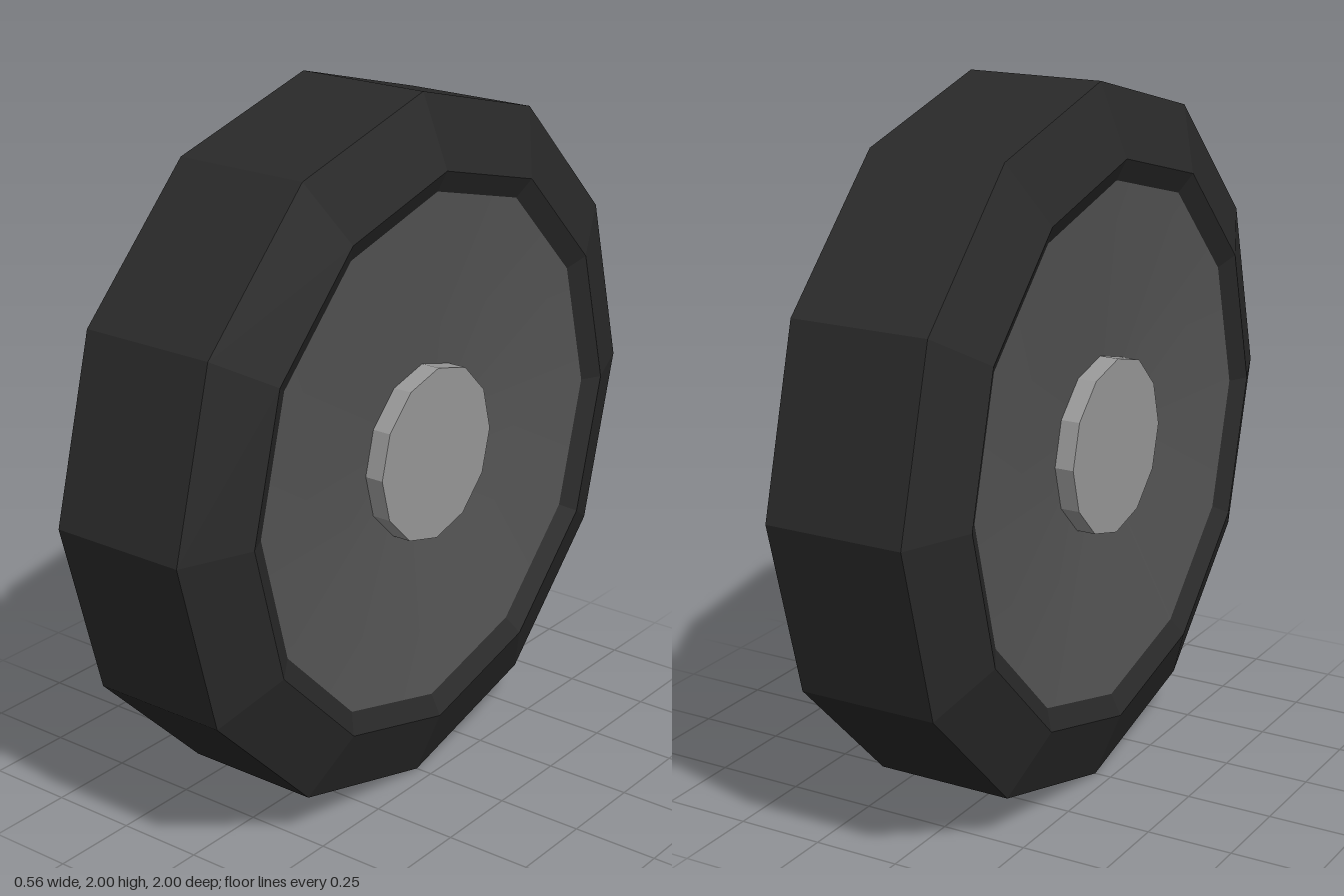
import * as THREE from 'three';

const SIDES = 12;

// Revolves [radius, x] points around the x axis
function revolve(points) {
  const g = new THREE.LatheGeometry(points.map(([r, x]) => new THREE.Vector2(r, x)), SIDES);
  return g.rotateZ(-Math.PI / 2);
}

// Gives every face its own normal for a faceted look
function faceted(g) {
  const flat = g.toNonIndexed();
  flat.computeVertexNormals();
  return flat;
}

function named(name, geometry, material) {
  const mesh = new THREE.Mesh(geometry, material);
  mesh.name = name;
  return mesh;
}

export function createModel() {
  const rubber = new THREE.MeshStandardMaterial({ color: 0x292929 });
  rubber.name = 'black rubber';
  const rimGrey = new THREE.MeshStandardMaterial({ color: 0x555555 });
  rimGrey.name = 'dark grey rim';
  const hubGrey = new THREE.MeshStandardMaterial({ color: 0x999999 });
  hubGrey.name = 'light grey hub';

  const wheel = new THREE.Group();
  wheel.name = 'wheel';

  // Tyre: flat tread, bevelled shoulders and an inner lip on both sides
  wheel.add(named('tyre', faceted(revolve([
    [0.74, -0.25], [0.8, -0.28], [1, -0.2], [1, 0.2], [0.8, 0.28], [0.74, 0.25],
  ])), rubber));

  // Dished rim and raised hub cap, the same on both sides
  for (const side of ['left', 'right']) {
    const face = new THREE.Group();
    face.name = side + 'WheelFace';
    face.add(named('rimDisc', revolve([[0.74, 0.25], [0.2, 0.2]]), rimGrey));
    const cap = new THREE.CylinderGeometry(0.25, 0.25, 0.1, SIDES).rotateZ(-Math.PI / 2);
    cap.translate(0.21, 0, 0);
    face.add(named('hubCap', faceted(cap), hubGrey));
    if (side === 'right') face.rotation.y = Math.PI;
    wheel.add(face);
  }

  wheel.position.y = 1;
  const model = new THREE.Group();
  model.name = 'wheelModel';
  model.add(wheel);
  return model;
}
